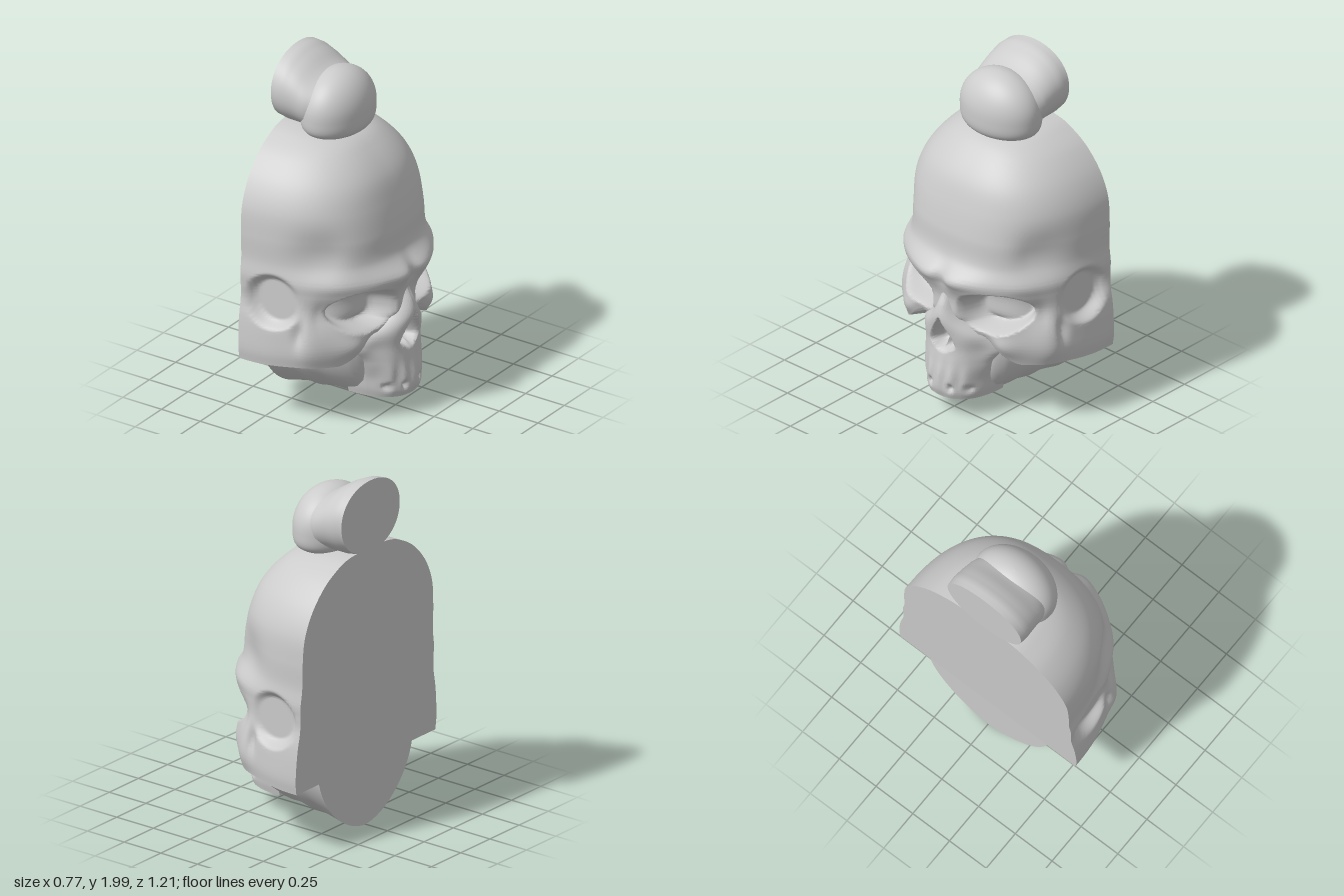
import * as THREE from 'three';
import { toCreasedNormals } from 'three/addons/utils/BufferGeometryUtils.js';

const bump = (d, w) => Math.exp(-((d / w) ** 2));
const ramp = (v, lo, hi) => THREE.MathUtils.smoothstep(v, lo, hi);
const fall = (v, lo, hi) => 1 - ramp(v, lo, hi);
const spow = (v, e) => Math.sign(v) * Math.abs(v) ** e;
const lerp = THREE.MathUtils.lerp;
const backX = y => -0.345 - 0.02 * y;

// Grid surface: fn(col, row) gives a point
function surface(cols, rows, fn) {
  const pos = [], index = [];
  for (let j = 0; j <= rows; j++)
    for (let i = 0; i <= cols; i++) pos.push(...fn(i, j));
  const n = cols + 1;
  for (let j = 0; j < rows; j++)
    for (let i = 0; i < cols; i++) {
      const a = j * n + i, b = a + n;
      index.push(a, b, a + 1, a + 1, b, b + 1);
    }
  const g = new THREE.BufferGeometry();
  g.setAttribute('position', new THREE.Float32BufferAttribute(pos, 3));
  g.setIndex(index);
  return toCreasedNormals(g, 1.2);
}

// Facial relief shared by the skull and the upper jaw
function sculpt([x, y, z]) {
  let a = Math.abs(z);
  const front = ramp(x, 0, 0.12);
  const x0 = x;
  // brow ridge swept back at the sides, frown notch and receding outer orbit
  x += front * 0.014 * bump(a - 0.09, 0.08) * bump(y - 0.84, 0.05);
  x -= front * 0.02 * bump(a - 0.34, 0.12) * bump(y - 0.86, 0.07);
  x -= front * 0.02 * bump(a, 0.04) * bump(y - 0.85, 0.07);
  x -= front * 0.045 * bump(a - 0.45, 0.08) * bump(y - 0.68, 0.1);
  // eye sockets, slightly squared
  const ex = Math.abs(a - 0.268) / 0.182, ey = Math.abs(y - 0.682 - 0.1 * (a - 0.25)) / 0.13;
  const eye = (ex ** 2.4 + ey ** 2.4) ** (1 / 2.4);
  x -= front * 0.15 * fall(eye, 0.62, 1.04);
  // nose opening with a thin septum
  const w = 0.085 * ramp(y, 0.36, 0.44) * fall(y, 0.43, 0.64) + 0.001;
  x -= front * 0.1 * fall(a / w, 0.5, 1.08) * ramp(y, 0.38, 0.43) * fall(y, 0.55, 0.61) * (1 - 0.5 * bump(a, 0.012) * fall(y, 0.42, 0.5));
  // hollow beside the nose, full cheek and cheek point
  x -= front * 0.035 * bump(a - 0.21, 0.06) * bump(y - 0.42, 0.08);
  x += front * 0.03 * bump(a - 0.36, 0.08) * bump(y - 0.5, 0.07);
  a += 0.032 * bump(x0 - 0.07, 0.08) * bump(y - 0.5, 0.12);
  // pinched temples
  a -= Math.min(a, 0.038 * bump(x0 - 0.08, 0.13) * bump(y - 1.03, 0.13) * ramp(a, 0.25, 0.45));
  // flat-bottomed pit behind the orbit
  const pit = fall(Math.hypot((x0 + 0.16) / 0.165, (y - 0.74) / 0.155), 0.72, 1.08);
  if (a > 0.48) a = lerp(a, 0.52, pit);
  // groove behind the cheekbone
  a -= 0.025 * bump(x0 + 0.01, 0.03) * bump(y - 0.58, 0.07) * ramp(a, 0.4, 0.5);
  return [x, y, Math.sign(z) * a];
}

// Stack of half-superellipse sections, profile points are [front x, y, half width]
function halfShell(profile, cols, rows, power, back, warp) {
  const curve = new THREE.CatmullRomCurve3(profile.map(p => new THREE.Vector3(...p)));
  const pts = Array.from({ length: rows }, (_, j) => curve.getPoint(j / (rows - 1)));
  return surface(cols, rows, (i, j) => {
    const p = pts[Math.max(j - 1, 0)], bx = back(p.y);
    const t = Math.PI * ((i - 1) / (cols - 2) - 0.5);
    if (i === 0 || i === cols) return [bx, p.y, 0];
    const x = bx + Math.max(p.x - bx, 0) * spow(Math.max(Math.cos(t), 0), 2 / power);
    const q = warp([x, p.y, Math.max(p.z, 0) * spow(Math.sin(t), 2 / power)]);
    // row 0 folds inward to close the underside
    return j === 0 ? [lerp(bx, q[0], 0.3), q[1] + 0.005, q[2] * 0.3] : q;
  });
}

// Loft along x, sections are [x, centre y, half height up, half height down, half width]
function loft(sections, segs, steps, power) {
  const n = sections.length - 1, rows = n * steps + 2;
  const at = (k, f) => sections[k].map((v, c) => f ? lerp(v, sections[k + 1][c], f) : v);
  return surface(segs, rows, (i, j) => {
    const s = Math.min(Math.max(j - 1, 0), n * steps);
    const [x, cy, up, down, w] = at(Math.floor(s / steps), (s % steps) / steps);
    if (j === 0 || j === rows) return [x, cy, 0];
    const a = (i / segs) * Math.PI * 2, sn = Math.sin(a);
    return [x, cy - (sn > 0 ? down : up) * spow(sn, 2 / power), -w * spow(Math.cos(a), 2 / power)];
  });
}

export function createModel() {
  const group = new THREE.Group();
  const material = new THREE.MeshStandardMaterial({ color: 0xcccccc, side: THREE.DoubleSide });
  const add = (name, geometry) => {
    const mesh = new THREE.Mesh(geometry, material);
    mesh.name = name;
    group.add(mesh);
    return mesh;
  };

  // Cranium with brow, sockets and cheekbones; the cheek's lower edge rises to the nose
  add('cranium', halfShell([
    [0.28, 0.365, 0.595], [0.29, 0.43, 0.603], [0.3, 0.52, 0.6], [0.325, 0.62, 0.59],
    [0.33, 0.72, 0.572], [0.355, 0.8, 0.57], [0.372, 0.86, 0.572], [0.305, 0.96, 0.56],
    [0.285, 1.1, 0.56], [0.25, 1.25, 0.545], [0.2, 1.38, 0.487], [0.1, 1.5, 0.38],
    [0, 1.565, 0.275], [-0.2, 1.6, 0.17], [-0.377, 1.61, 0.0],
  ], 160, 170, 2.5, backX, p => {
    const lift = 0.14 * fall(Math.abs(p[2]), 0.2, 0.42) * ramp(p[0], 0, 0.15);
    const y = p[1] + (lift + 0.02 * ramp(p[0], -0.3, 0.1)) * fall(p[1], 0.36, 0.66);
    return sculpt([p[0], y, p[2]]);
  }));

  // Upper jaw and nasal bone, with tooth roots and small pits
  add('upperJaw', halfShell([
    [0.365, 0.125, 0.195], [0.378, 0.17, 0.205], [0.375, 0.25, 0.215], [0.36, 0.34, 0.245],
    [0.35, 0.42, 0.285], [0.362, 0.5, 0.25], [0.38, 0.6, 0.13], [0.365, 0.67, 0.08],
    [0.335, 0.74, 0.06], [0.33, 0.82, 0.05],
  ], 100, 90, 2.3, () => 0.08, p => {
    const q = sculpt(p), a = Math.abs(q[2]);
    if (q[0] > 0.2) {
      q[0] += 0.006 * Math.cos(a * 85) * bump(q[1] - 0.24, 0.08);
      q[0] -= 0.03 * (bump(a - 0.07, 0.016) + bump(a - 0.15, 0.016)) * bump(q[1] - 0.19, 0.022);
    }
    return q;
  }));

  // Stepped lower jaw block behind the teeth
  add('lowerJaw', loft([
    [-0.35, 0.42, 0.05, 0.412, 0.405], [-0.31, 0.42, 0.05, 0.4, 0.4], [-0.2, 0.42, 0.05, 0.375, 0.385],
    [-0.13, 0.42, 0.05, 0.38, 0.38], [-0.04, 0.42, 0.05, 0.36, 0.365], [0.04, 0.42, 0.05, 0.365, 0.35],
    [0.14, 0.42, 0.05, 0.36, 0.31], [0.18, 0.42, 0.05, 0.34, 0.27], [0.2, 0.42, 0.05, 0.29, 0.24],
  ], 64, 2, 1.75));

  // Back half of the topknot, flat where it is cut
  add('topknotBack', loft([
    [-0.385, 1.8, 0.2, 0.21, 0.25], [-0.33, 1.795, 0.198, 0.215, 0.255], [-0.26, 1.78, 0.18, 0.2, 0.25],
    [-0.19, 1.755, 0.158, 0.18, 0.245], [-0.12, 1.74, 0.14, 0.16, 0.22],
  ], 56, 3, 2.1));

  // Front ball of the topknot: round on top, squarer where it rests on the dome
  const ball = new THREE.SphereGeometry(1, 56, 36), pos = ball.attributes.position;
  for (let i = 0; i < pos.count; i++) {
    const y = pos.getY(i), low = y < 0;
    const wide = low ? (1 + y * y) ** 0.25 / Math.max(1 - y * y, 1e-6) ** 0.25 : 1;
    pos.setXYZ(i, pos.getX(i) * 0.18 * wide, y * (low ? 0.14 : 0.215), pos.getZ(i) * 0.25 * wide);
  }
  ball.computeVertexNormals();
  add('topknotBall', ball).position.set(-0.12, 1.705, 0);

  return group;
}
